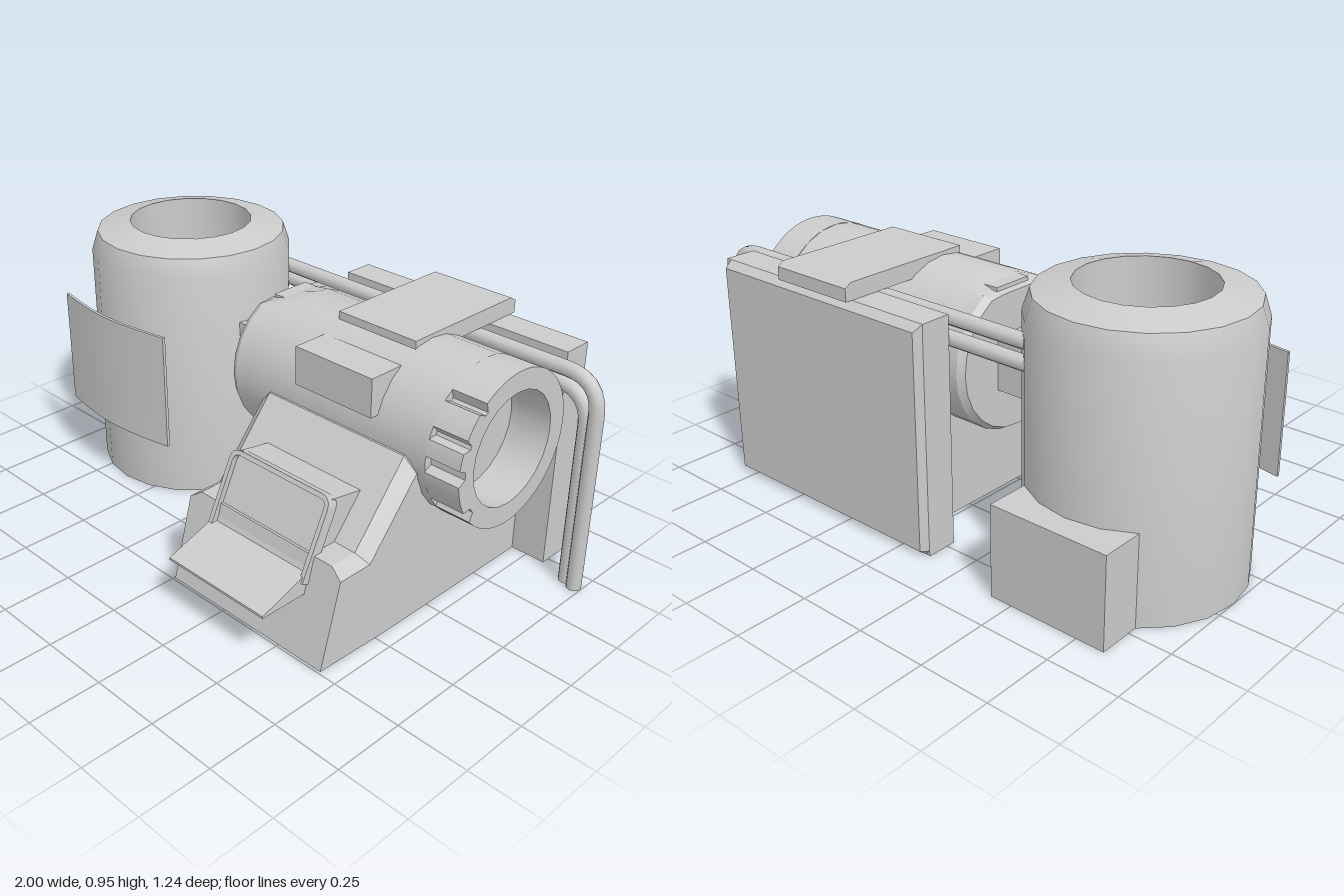
import * as THREE from 'three';
import { toCreasedNormals } from 'three/addons/utils/BufferGeometryUtils.js';

const material = new THREE.MeshStandardMaterial({ color: 0xcccccc });

// Joins equal-length [z, y] outlines placed at rising x, with both ends capped.
function loft(sections) {
  const n = sections[0][1].length;
  const pos = sections.flatMap(([x, pts]) => pts.flatMap(([z, y]) => [x, y, z]));
  const index = [];
  for (let s = 0; s < sections.length - 1; s++) {
    for (let j = 0; j < n; j++) {
      const k = (j + 1) % n;
      const a = s * n + j, b = s * n + k, c = b + n, d = a + n;
      index.push(a, d, c, a, c, b);
    }
  }
  const cap = (s, flip) => {
    const outline = sections[s][1].map(([z, y]) => new THREE.Vector2(z, y));
    for (const [a, b, c] of THREE.ShapeUtils.triangulateShape(outline, [])) {
      const o = s * n;
      index.push(o + a, o + (flip ? c : b), o + (flip ? b : c));
    }
  };
  cap(0, false);
  cap(sections.length - 1, true);
  const g = new THREE.BufferGeometry();
  g.setAttribute('position', new THREE.Float32BufferAttribute(pos, 3));
  g.setIndex(index);
  return g;
}

const prism = (x0, x1, outline) => loft([[x0, outline], [x1, outline]]);
const rect = (z0, z1, y0, y1) => [[z1, y0], [z1, y1], [z0, y1], [z0, y0]];
const block = (x0, x1, y0, y1, z0, z1) => prism(x0, x1, rect(z0, z1, y0, y1));
const vectors = (list) => list.map(([x, y]) => new THREE.Vector2(x, y));

export function createModel() {
  const model = new THREE.Group();
  const add = (name, geometry, crease = 0.5) => {
    const flat = geometry.index ? geometry.toNonIndexed() : geometry;
    const mesh = new THREE.Mesh(toCreasedNormals(flat, crease), material);
    mesh.name = name;
    model.add(mesh);
    return mesh;
  };

  // Upright tank with a bevelled rim and open top
  const tank = new THREE.LatheGeometry(vectors([
    [0, 0], [0.365, 0], [0.365, 0.85], [0.342, 0.92], [0.222, 0.95], [0.222, 0.5], [0, 0.5],
  ]), 20);
  add('tank', tank).position.set(-0.635, 0, -0.172);
  add('tankBackBox', block(-0.85, -0.42, 0, 0.32, -0.62, -0.35));

  // Bowed plate on the tank and its mount
  add('tankPlate', loft([
    [-0.91, 0.205], [-0.82, 0.222], [-0.72, 0.236], [-0.635, 0.24],
    [-0.55, 0.236], [-0.45, 0.222], [-0.355, 0.205],
  ].map(([x, z]) => [x, rect(z - 0.005, z + 0.006, 0.25, 0.68)])));
  add('plateMount', loft([
    [-0.82, 0.13], [-0.78, 0.225], [-0.49, 0.225], [-0.45, 0.13],
  ].map(([x, z]) => [x, rect(0.09, z, 0.33, 0.575)])), 0.2);

  // Horizontal drum, with a sloped flat on the top of its inner end
  const drum = new THREE.LatheGeometry(vectors([
    [0, -0.14], [0.25, -0.14], [0.265, -0.115], [0.265, -0.06], [0.265, 0], [0.265, 0.72],
    [0.195, 0.72], [0.195, 0.7], [0, 0.7],
  ]), 24);
  drum.rotateZ(-Math.PI / 2);
  const p = drum.attributes.position;
  for (let i = 0; i < p.count; i++) {
    const x = p.getX(i);
    if (x < 0) p.setY(i, Math.min(p.getY(i), 0.265 + x * 0.3));
  }
  add('drum', drum).position.set(0, 0.582, -0.172);
  add('drumCatch', block(-0.12, -0.035, 0.74, 0.825, -0.25, -0.1));

  // Open drum end with slots cut in the front of the rim
  const slots = [50, 23, 0, -36];
  const rim = [];
  for (let i = 0; i < 120; i++) {
    const deg = i * 3;
    const inSlot = slots.some((s) => Math.abs(((deg - 180 + s + 540) % 360) - 180) < 3.1);
    const r = inSlot ? 0.235 : 0.265;
    const a = THREE.MathUtils.degToRad(deg);
    rim.push(new THREE.Vector2(r * Math.cos(a), r * Math.sin(a)));
  }
  const ring = new THREE.Shape(rim);
  ring.holes.push(new THREE.Path().absarc(0, 0, 0.195, 0, Math.PI * 2, true));
  const end = new THREE.ExtrudeGeometry(ring, { depth: 0.13, bevelEnabled: false, curveSegments: 12 });
  end.rotateY(Math.PI / 2);
  add('drumOpening', end).position.set(0.72, 0.582, -0.172);

  // Link between tank and drum
  add('connector', block(-0.32, -0.1, 0.485, 0.67, -0.27, -0.085));

  // Sloped base with chamfered side edges
  const low = [[0.5, 0.01], [0.42, 0.3], [0.29, 0.3], [0.09, 0.535], [-0.475, 0.535], [-0.475, 0], [0.23, 0]];
  const high = [[0.5, 0.01], [0.41, 0.33], [0.31, 0.33], [0.1, 0.583], [-0.475, 0.583], [-0.475, 0], [0.23, 0]];
  add('base', loft([[0.015, low], [0.06, high], [0.645, high], [0.69, low]]), 0.2);

  // Rear slab with chamfered back edges
  const slab = (z) => [[-0.47, 0], [-0.47, 0.8], [-0.58, 0.8], [z, 0.775], [z, 0.02], [-0.58, 0]];
  add('rearSlab', loft([[-0.12, slab(-0.582)], [-0.1, slab(-0.605)], [0.8, slab(-0.605)], [0.82, slab(-0.582)]]), 0.2);

  // Strap over the drum and the small block on its front
  add('topStrap', prism(0.19, 0.515, [[-0.09, 0.8], [-0.09, 0.86], [-0.58, 0.86], [-0.605, 0.845], [-0.605, 0.8]]), 0.2);
  add('frontBlock', block(0.19, 0.515, 0.665, 0.8, -0.05, 0.11));

  // Hood on the slope with its frame and tray
  add('hood', prism(0.15, 0.56, [[0.44, 0.21], [0.44, 0.25], [0.325, 0.488], [0.19, 0.465], [0.19, 0.21]]), 0.2);
  const w = 0.217, h = 0.28, c = 0.04, t = 0.016;
  const frame = new THREE.Shape();
  frame.moveTo(-w, 0).lineTo(-w + t, 0).lineTo(-w + t, h - c)
    .quadraticCurveTo(-w + t, h - t, -w + c, h - t).lineTo(w - c, h - t)
    .quadraticCurveTo(w - t, h - t, w - t, h - c).lineTo(w - t, 0).lineTo(w, 0)
    .lineTo(w, h - c).quadraticCurveTo(w, h, w - c, h)
    .lineTo(-w + c, h).quadraticCurveTo(-w, h, -w, h - c).lineTo(-w, 0);
  const hoodFrame = add('hoodFrame', new THREE.ExtrudeGeometry(frame, { depth: 0.04, bevelEnabled: false, curveSegments: 4 }));
  hoodFrame.position.set(0.355, 0.235, 0.425);
  hoodFrame.rotation.x = -0.447;
  add('tray', prism(0.14, 0.565, [[0.4, 0.205], [0.62, 0.205], [0.62, 0.213], [0.45, 0.272], [0.4, 0.272]]), 0.2);

  // Two pipes from the tank, over the drum and down to the ground
  for (const [name, x, y, z] of [['outerPipe', 0.973, 0.77, -0.425], ['innerPipe', 0.93, 0.71, -0.443]]) {
    const v = (px, py) => new THREE.Vector3(px, py, z);
    const path = new THREE.CurvePath();
    path.add(new THREE.LineCurve3(v(-0.5, y), v(x - 0.12, y)));
    path.add(new THREE.QuadraticBezierCurve3(v(x - 0.12, y), v(x, y), v(x, y - 0.12)));
    path.add(new THREE.LineCurve3(v(x, y - 0.12), v(x, 0)));
    add(name, new THREE.TubeGeometry(path, 70, 0.026, 10), 1);
    const cap = new THREE.CircleGeometry(0.026, 10).rotateX(Math.PI / 2);
    add(name + 'End', cap).position.set(x, 0, z);
  }
  return model;
}
